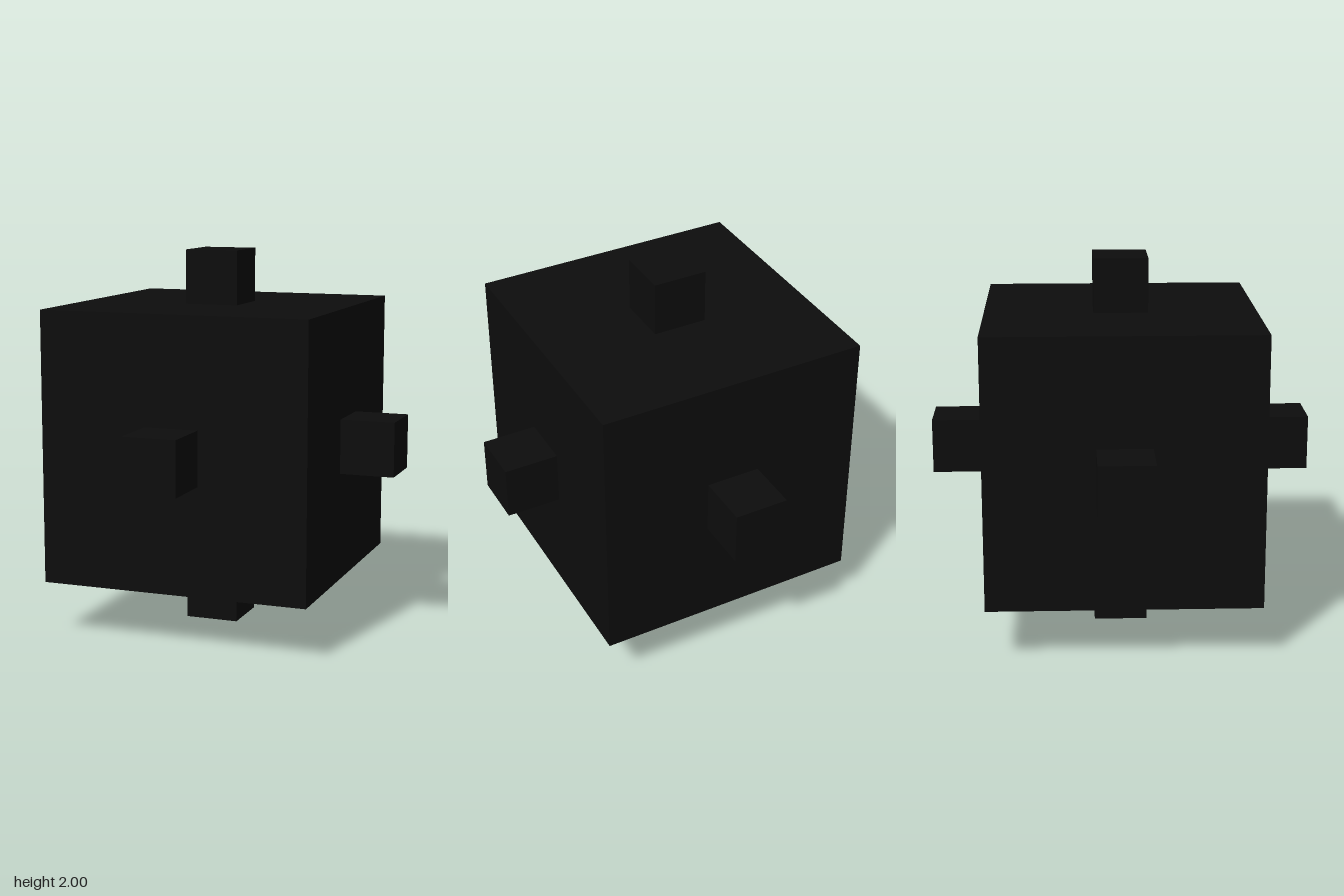
import * as THREE from 'three';

const UNIT = 2 / 7; // peg edge length
const BODY = 5 * UNIT; // cube edge length

export function createModel() {
  const group = new THREE.Group();
  group.name = 'peggedCube';

  const black = new THREE.MeshStandardMaterial({ color: 0x0d0d0d });
  black.name = 'black';

  // Central cube
  const body = new THREE.Mesh(new THREE.BoxGeometry(BODY, BODY, BODY), black);
  body.name = 'body';
  body.position.y = 1;
  group.add(body);

  // One cubic peg in the middle of each face
  const pegGeometry = new THREE.BoxGeometry(UNIT, UNIT, UNIT);
  const offset = (BODY + UNIT) / 2;
  const pegs = {
    leftPeg: [1, 0, 0],
    rightPeg: [-1, 0, 0],
    topPeg: [0, 1, 0],
    bottomPeg: [0, -1, 0],
    frontPeg: [0, 0, 1],
    backPeg: [0, 0, -1],
  };
  for (const [name, direction] of Object.entries(pegs)) {
    const peg = new THREE.Mesh(pegGeometry, black);
    peg.name = name;
    peg.position.fromArray(direction).multiplyScalar(offset).add(body.position);
    group.add(peg);
  }

  return group;
}
